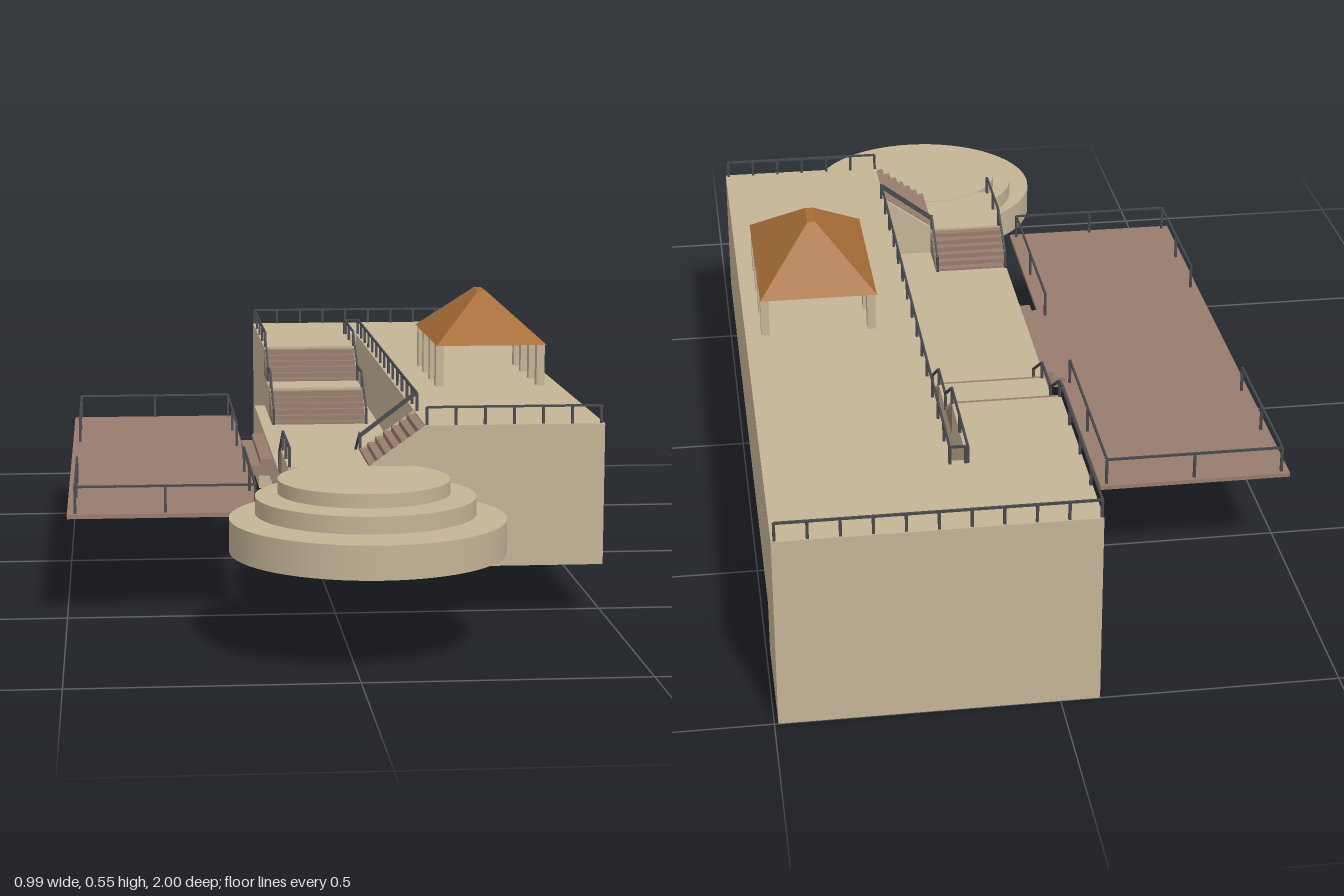
import * as THREE from 'three';

const mat = (name, color) => new THREE.MeshStandardMaterial({ name, color });

export function createModel() {
  const stone = mat('sandstone', 0xc4b496);
  const wood = mat('brownDecking', 0x987c6d);
  const tile = mat('roofTile', 0xa66c36);
  const metal = mat('darkMetal', 0x45484d);
  const model = new THREE.Group();

  const add = (parent, name, geometry, material) => {
    const mesh = new THREE.Mesh(geometry, material);
    mesh.name = name;
    parent.add(mesh);
    return mesh;
  };
  const group = (name) => {
    const g = new THREE.Group();
    g.name = name;
    model.add(g);
    return g;
  };
  // Box given by its limits on each axis
  const block = (parent, name, material, x0, x1, y0, y1, z0, z1) => {
    const mesh = add(parent, name, new THREE.BoxGeometry(x1 - x0, y1 - y0, z1 - z0), material);
    mesh.position.set((x0 + x1) / 2, (y0 + y1) / 2, (z0 + z1) / 2);
    return mesh;
  };
  // Thin square bar between two points
  const bar = (parent, name, a, b, t = 0.004) => {
    const mesh = add(parent, name, new THREE.BoxGeometry(t, t, a.distanceTo(b)), metal);
    mesh.position.copy(a).lerp(b, 0.5);
    mesh.lookAt(b);
  };
  // Railing along a ground path, with posts at even spacing
  const railing = (name, path, height = 0.033, spacing = 0.085) => {
    const g = group(name);
    const up = new THREE.Vector3(0, height, 0);
    const pts = path.map((p) => new THREE.Vector3(...p));
    for (let i = 0; i + 1 < pts.length; i++) {
      const a = pts[i], b = pts[i + 1];
      bar(g, 'handrail', a.clone().add(up), b.clone().add(up));
      const n = Math.max(1, Math.round(a.distanceTo(b) / spacing));
      for (let k = i ? 1 : 0; k <= n; k++) {
        const p = a.clone().lerp(b, k / n);
        block(g, 'railPost', metal, p.x - 0.0025, p.x + 0.0025, p.y, p.y + height, p.z - 0.0025, p.z + 0.0025);
      }
    }
    return g;
  };

  const TOP = 0.365, MID = 0.29, WALK = 0.235, UNDER = 0.175;

  // Main masses
  block(model, 'upperTerrace', stone, 0.16, 0.493, 0.1, TOP, -0.77, 0.565);
  block(model, 'backBlock', stone, -0.07, 0.493, 0, TOP, -1, -0.77);
  block(model, 'lowerWalkway', stone, -0.093, 0.16, UNDER, WALK, -0.53, 0.565);
  block(model, 'backStairSupport', stone, -0.07, 0.133, UNDER, TOP, -0.77, -0.56);
  block(model, 'wellFloor', stone, 0.133, 0.16, UNDER, WALK, -0.77, -0.53);
  block(model, 'backStairLanding', stone, -0.07, 0.133, UNDER, 0.3, -0.56, -0.36);
  block(model, 'frontLanding', stone, -0.093, 0.16, WALK, MID, 0.38, 0.565);

  // A flight of solid steps; dir is the axis and sign of the descent
  const flight = (name, n, axis, sign, from, to, lo, hi, yTop, yBottom) => {
    const g = group(name);
    for (let i = 0; i < n; i++) {
      const near = from + ((to - from) * i) / n;
      const far = from + ((to - from) * (i + 1)) / n;
      const a = sign > 0 ? near : far, b = sign > 0 ? far : near;
      const y = yTop - ((yTop - yBottom) * (i + 0.5)) / n;
      if (axis === 'z') block(g, 'step', wood, lo, hi, yBottom, y, a, b);
      else block(g, 'step', wood, a, b, yBottom, y, lo, hi);
    }
  };
  flight('backUpperStairs', 6, 'z', 1, -0.56, -0.46, -0.07, 0.133, TOP, 0.3);
  flight('backLowerStairs', 6, 'z', 1, -0.36, -0.26, -0.07, 0.133, 0.3, WALK);
  flight('frontLowerStairs', 6, 'z', -1, 0.38, 0.28, -0.093, 0.06, MID, WALK);
  flight('frontUpperStairs', 7, 'x', -1, 0.16, 0.055, 0.392, 0.565, TOP, MID);

  // Sloping stone cheek beside the front upper stairs
  const cheekShape = new THREE.Shape([
    new THREE.Vector2(0.055, MID), new THREE.Vector2(0.16, MID), new THREE.Vector2(0.16, TOP),
  ]);
  for (const z of [0.38, 0.56]) {
    const cheek = add(model, 'stairCheek',
      new THREE.ExtrudeGeometry(cheekShape, { depth: z > 0.5 ? 0.006 : 0.012, bevelEnabled: false }), stone);
    cheek.position.z = z;
  }

  // Round stepped platform, each tier set back towards the landing
  const platform = group('roundPlatform');
  [[0.245, UNDER, 0.235, 0.755], [0.197, 0.235, 0.266, 0.713], [0.155, 0.266, 0.291, 0.682]]
    .forEach(([r, y0, y1, z]) => {
      const tier = add(platform, 'platformTier', new THREE.CylinderGeometry(r, r, y1 - y0, 64), stone);
      tier.position.set(0.035, (y0 + y1) / 2, z);
    });

  // Side deck and its short steps up to the walkway
  block(model, 'sideDeck', wood, -0.498, -0.137, 0.192, 0.2, -0.615, 0.523);
  block(model, 'deckStepLow', wood, -0.14, -0.117, 0.192, 0.213, -0.2, 0.108);
  block(model, 'deckStepHigh', wood, -0.117, -0.093, 0.192, 0.226, -0.2, 0.108);

  // Pavilion
  const pavilion = group('pavilion');
  for (const x of [0.248, 0.454]) {
    for (const z of [0.07, -0.028, -0.132, -0.222]) {
      block(pavilion, 'pavilionPost', stone, x - 0.008, x + 0.008, TOP, 0.45, z - 0.012, z + 0.012);
    }
  }
  // Hipped roof: a box whose upper corners are drawn in to a small ridge
  const roofGeo = new THREE.BoxGeometry(0.224, 0.095, 0.36).toNonIndexed();
  const pos = roofGeo.attributes.position;
  for (let i = 0; i < pos.count; i++) {
    if (pos.getY(i) > 0) {
      pos.setX(i, Math.sign(pos.getX(i)) * 0.008);
      pos.setZ(i, Math.sign(pos.getZ(i)) * 0.035);
    }
  }
  roofGeo.computeVertexNormals();
  add(pavilion, 'roof', roofGeo, tile).position.set(0.351, 0.4975, -0.08);

  // Terrace railings
  railing('frontTerraceRailing', [[0.163, TOP, 0.558], [0.487, TOP, 0.558]], 0.033, 0.057);
  railing('backTerraceRailing', [[-0.067, TOP, -0.995], [0.487, TOP, -0.995]], 0.033, 0.057);
  railing('innerTerraceRailing', [[0.165, TOP, 0.39], [0.165, TOP, -0.78], [0.137, TOP, -0.78]]);

  // Railings following the back stairs down on both sides
  const descent = (x, z) => [
    [x, TOP, z], [x, TOP, -0.56], [x, 0.3, -0.46], [x, 0.3, -0.36], [x, WALK, -0.26],
  ];
  railing('backStairOuterRailing', descent(-0.067, -0.995), 0.033, 0.12);
  railing('backStairInnerRailing', descent(0.133, -0.78), 0.033, 0.12);

  // Front stair railings
  railing('frontLandingRailing', [[-0.09, MID, 0.56], [-0.09, MID, 0.38], [-0.09, WALK, 0.28]], 0.037);
  railing('frontLowerStairRailing', [[0.057, MID, 0.38], [0.057, WALK, 0.28]]);
  for (const z of [0.37, 0.388]) {
    bar(model, 'frontUpperStairHandrail',
      new THREE.Vector3(0.055, 0.315, z), new THREE.Vector3(0.163, 0.397, z));
  }

  // Deck railings, open in the middle of both long sides
  const D = 0.2, xo = -0.483, xi = -0.15;
  railing('deckBackRailing',
    [[xo, D, -0.28], [xo, D, -0.605], [xi, D, -0.605], [xi, D, -0.2]], 0.05, 0.165);
  railing('deckFrontRailing',
    [[xo, D, 0.2], [xo, D, 0.512], [xi, D, 0.512], [xi, D, 0.108]], 0.05, 0.165);

  return model;
}
